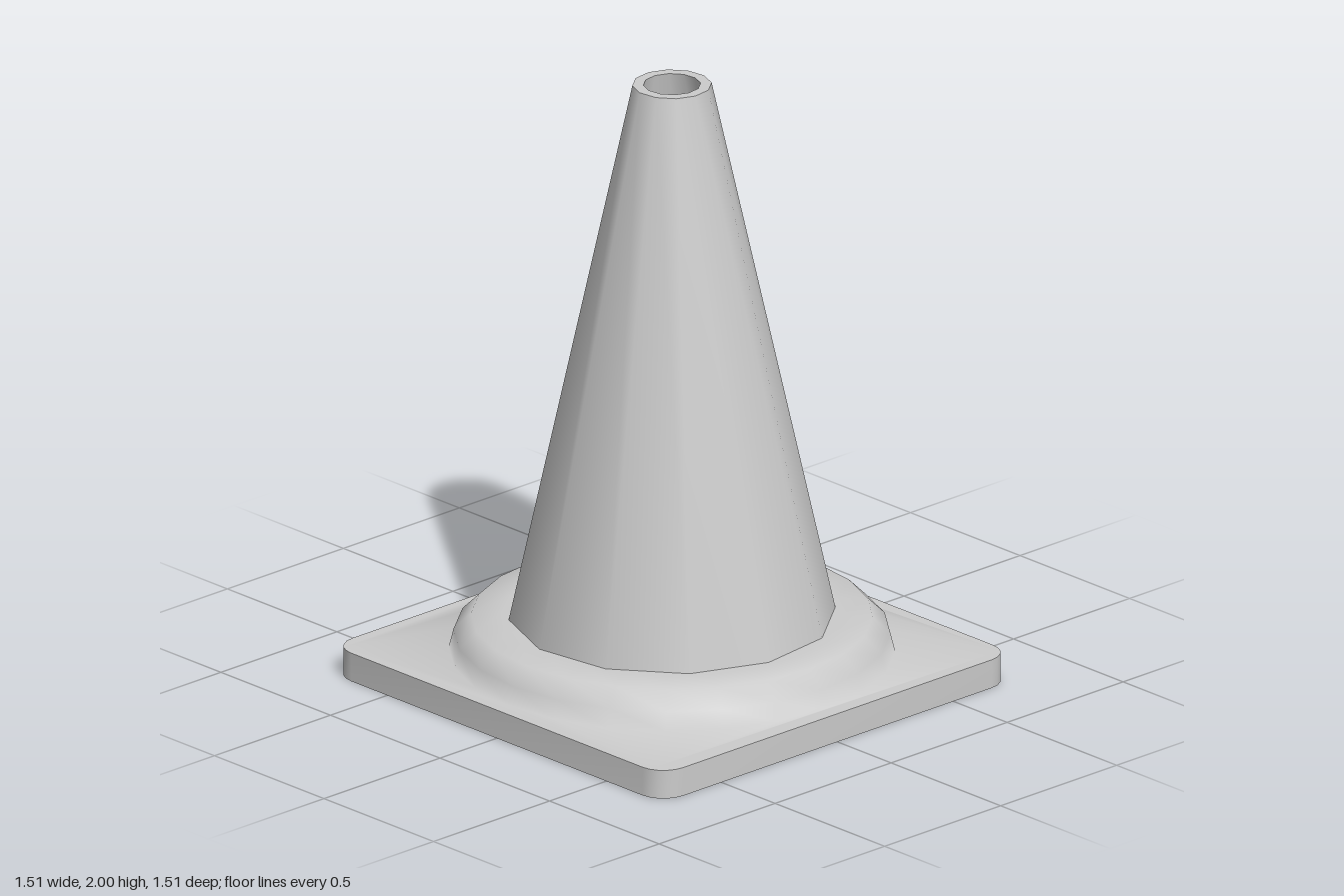
import * as THREE from 'three';
import { mergeGeometries, mergeVertices, toCreasedNormals } from 'three/addons/utils/BufferGeometryUtils.js';

const HALF = 0.755, CORNER = 0.09, PLATE_Y = 0.095, COLLAR_SIDES = 24, CONE_SIDES = 12;
const CONE_TURN = THREE.MathUtils.degToRad(7.3);

const ringPoints = (radius, sides, turn = 0) => Array.from({ length: sides }, (_, i) => {
  const a = turn + (i / sides) * Math.PI * 2;
  return new THREE.Vector2(radius * Math.cos(a), radius * Math.sin(a));
});

// Outline of the plate: a square with four rounded corners
function plateOutline(steps = 5) {
  const points = [], inset = HALF - CORNER;
  for (let c = 0; c < 4; c++) {
    const mid = (c + 0.5) * Math.PI / 2;
    for (let i = 0; i <= steps; i++) {
      const a = (c + i / steps) * Math.PI / 2;
      points.push(new THREE.Vector2(
        Math.sign(Math.cos(mid)) * inset + CORNER * Math.cos(a),
        Math.sign(Math.sin(mid)) * inset + CORNER * Math.sin(a)));
    }
  }
  return points;
}

function plateFace(hole) {
  const shape = new THREE.Shape(plateOutline());
  shape.holes.push(new THREE.Path(hole));
  return new THREE.ShapeGeometry(shape);
}

function lathe(profile, sides, phi = 0) {
  return new THREE.LatheGeometry(profile.map(([r, y]) => new THREE.Vector2(r, y)), sides, phi);
}

// Vertical edge of the plate
function plateWall() {
  const loop = plateOutline(), positions = [], index = [];
  loop.forEach((p, i) => {
    positions.push(p.x, 0, p.y, p.x, PLATE_Y, p.y);
    const a = i * 2, b = ((i + 1) % loop.length) * 2;
    index.push(a, a + 1, b, b, a + 1, b + 1);
  });
  const geometry = new THREE.BufferGeometry();
  geometry.setAttribute('position', new THREE.Float32BufferAttribute(positions, 3));
  geometry.setIndex(index);
  return toCreasedNormals(geometry, 0.7);
}

// Plate top and raised collar share their vertices, so they shade as one surface
function plateTop() {
  const collar = [[0.7, PLATE_Y], [0.685, 0.155], [0.63, 0.21], [0.53, 0.215], [0.46, 0.215]];
  const face = plateFace(ringPoints(collar[0][0], COLLAR_SIDES));
  face.rotateX(-Math.PI / 2).translate(0, PLATE_Y, 0);
  const parts = [face, lathe(collar, COLLAR_SIDES)];
  for (const part of parts) {
    part.deleteAttribute('uv');
    part.deleteAttribute('normal');
  }
  const geometry = mergeVertices(mergeGeometries(parts), 1e-3);
  geometry.computeVertexNormals();
  return geometry;
}

export function createModel() {
  const group = new THREE.Group();
  group.name = 'trafficCone';
  const material = new THREE.MeshStandardMaterial({ color: 0xcccccc, side: THREE.DoubleSide });
  const add = (name, geometry) => {
    const mesh = new THREE.Mesh(geometry, material);
    mesh.name = name;
    group.add(mesh);
  };

  add('plateTopAndCollar', plateTop());
  add('plateEdge', plateWall());
  add('plateUnderside', plateFace(ringPoints(0.49, CONE_SIDES, CONE_TURN)).rotateX(Math.PI / 2));

  // Hollow cone: outer wall, flat rim, inner wall down to the floor
  const cone = lathe([[0.518, 0.2], [0.125, 2], [0.09, 2], [0.49, 0]], CONE_SIDES, Math.PI / 2 - CONE_TURN);
  cone.deleteAttribute('uv');
  cone.deleteAttribute('normal');
  add('cone', toCreasedNormals(cone, 0.7));

  return group;
}
